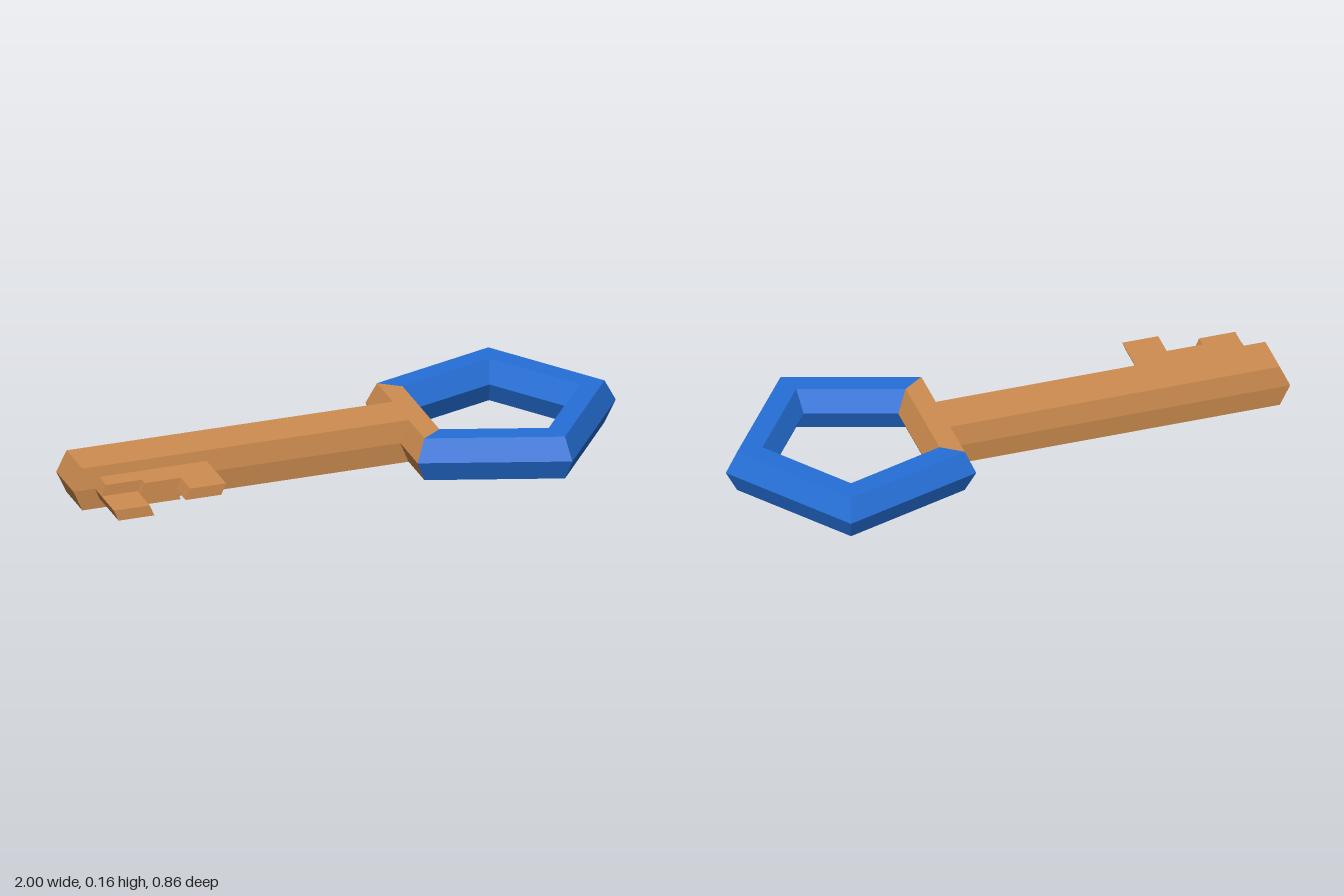
import * as THREE from 'three';

const BRASS = 0xcf8d50, BLUE = 0x2570d8;
const TOP = 0.157, MID = TOP / 2;

function material(color) {
  return new THREE.MeshStandardMaterial({ color, flatShading: true });
}

// Joins two six-sided sections into a closed bar; points 0 and 3 are the mid ridges.
function bar(name, a, b, color) {
  const pos = [];
  const tri = (...pts) => pts.forEach((p) => pos.push(...p));
  for (let i = 0; i < 6; i++) {
    const j = (i + 1) % 6;
    tri(a[i], b[i], b[j]);
    tri(a[i], b[j], a[j]);
  }
  for (let i = 1; i < 5; i++) {
    tri(a[0], a[i], a[i + 1]);
    tri(b[0], b[i + 1], b[i]);
  }
  const geo = new THREE.BufferGeometry();
  geo.setAttribute('position', new THREE.Float32BufferAttribute(pos, 3));
  geo.computeVertexNormals();
  const mesh = new THREE.Mesh(geo, material(color));
  mesh.name = name;
  return mesh;
}

// Half of the key bit: a flat outline in x and z, with side walls leaning away from the mid plane.
function bitHalf(name, outline, upper) {
  const shape = new THREE.Shape(outline.map(([x, z]) => new THREE.Vector2(x, z)));
  const geo = new THREE.ExtrudeGeometry(shape, { depth: 0.04, bevelEnabled: false });
  geo.rotateX(Math.PI / 2);
  geo.translate(0, upper ? MID + 0.04 : MID, 0);
  const p = geo.attributes.position;
  for (let i = 0; i < p.count; i++) {
    p.setX(i, p.getX(i) + 0.42 * Math.abs(p.getY(i) - MID));
  }
  geo.computeVertexNormals();
  const mesh = new THREE.Mesh(geo, material(BRASS));
  mesh.name = name;
  return mesh;
}

export function createModel() {
  const key = new THREE.Group();
  key.name = 'key';

  // Pentagonal bow with mitred corners; the side facing the shaft is brass
  const centre = 0.55;
  const profile = [[0.45, MID], [0.409, TOP], [0.318, TOP], [0.275, MID], [0.318, 0], [0.409, 0]];
  const corner = (k) => {
    const a = (k * Math.PI * 2) / 5;
    return profile.map(([r, y]) => [centre + r * Math.cos(a), y, -r * Math.sin(a)]);
  };
  for (let k = 0; k < 5; k++) {
    const brass = k === 2;
    key.add(bar(brass ? 'collar' : 'bowSide' + k, corner(k), corner(k + 1), brass ? BRASS : BLUE));
  }

  // Shaft with a wedge-shaped tip, ending against the collar
  const shaftProfile = [[0.088, MID], [0.08, TOP], [-0.08, TOP], [-0.088, MID], [-0.08, 0], [0.08, 0]];
  const section = (ridgeX, edgeX) => shaftProfile.map(([z, y]) => [y === MID ? ridgeX : edgeX, y, z]);
  key.add(bar('shaft', section(-1, -0.965), section(0.187, 0.22), BRASS));

  // Bit: the outer tooth is on the lower half, the inner tooth on the upper half
  const [x0, x1, x2, x3] = [-0.922, -0.792, -0.662, -0.532];
  const bit = (outer, inner) => [
    [x0, 0.05], [x0, outer], [x1, outer], [x1, 0.185],
    [x2, 0.185], [x2, inner], [x3, inner], [x3, 0.05],
  ];
  key.add(bitHalf('upperBit', bit(0.155, 0.28), true));
  key.add(bitHalf('lowerBit', bit(0.28, 0.155), false));

  return key;
}
